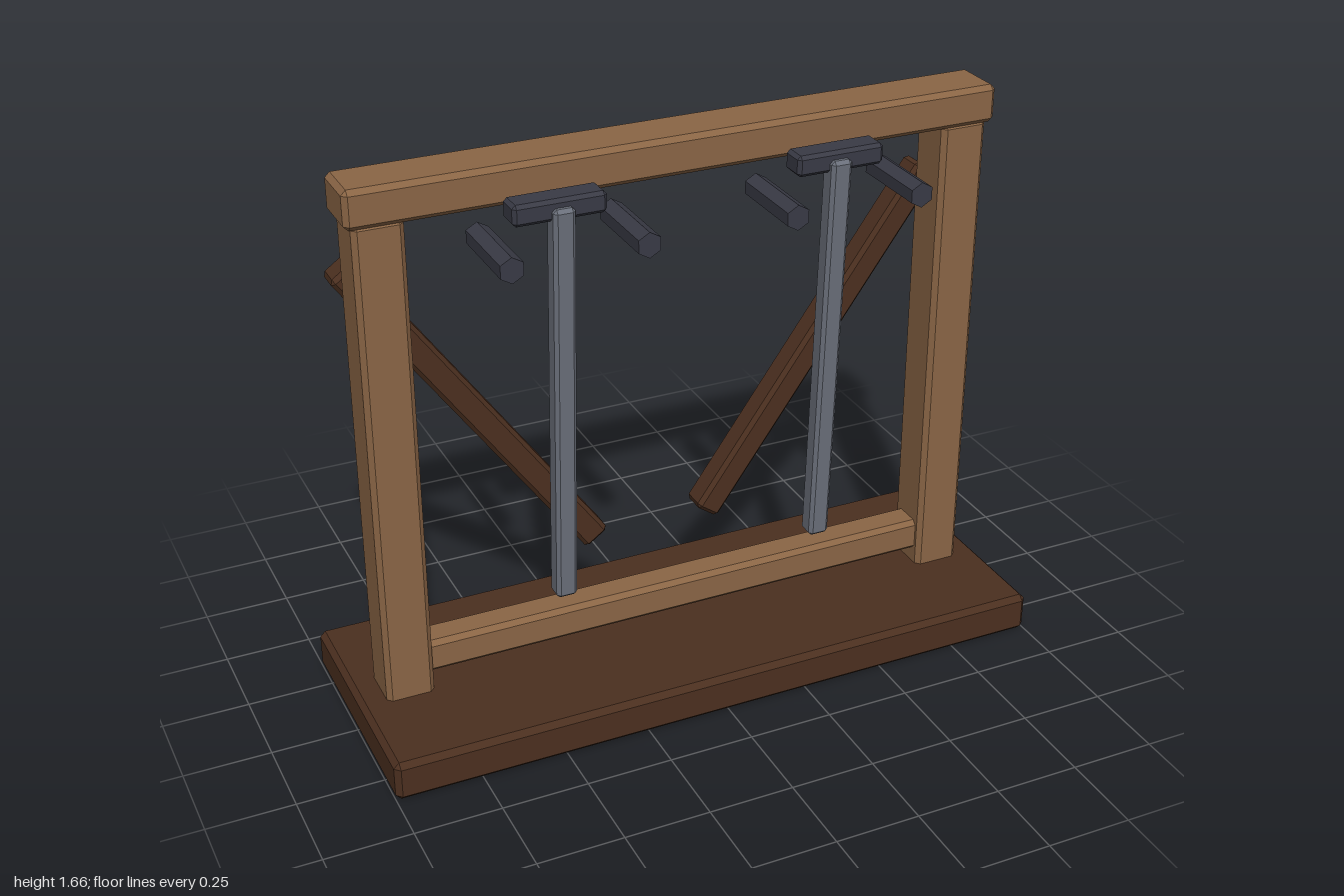
import * as THREE from 'three';
import { ConvexGeometry } from 'three/addons/geometries/ConvexGeometry.js';

// Box with bevelled edges and flat faces
function bevelBox(w, h, d, c) {
  const pts = [];
  for (const x of [-1, 1]) for (const y of [-1, 1]) for (const z of [-1, 1]) {
    const X = x * w / 2, Y = y * h / 2, Z = z * d / 2;
    pts.push(
      new THREE.Vector3(X, Y - y * c, Z - z * c),
      new THREE.Vector3(X - x * c, Y, Z - z * c),
      new THREE.Vector3(X - x * c, Y - y * c, Z)
    );
  }
  return new ConvexGeometry(pts);
}

export function createModel() {
  const group = new THREE.Group();
  const mat = (name, color) => {
    const m = new THREE.MeshStandardMaterial({ color });
    m.name = name;
    return m;
  };
  const oak = mat('light wood', 0x8a6545);
  const walnut = mat('dark wood', 0x4b2f1f);
  const steel = mat('grey steel', 0x6b707b);
  const iron = mat('dark iron', 0x393a45);

  const add = (name, geometry, material, x, y, z) => {
    const m = new THREE.Mesh(geometry, material);
    m.name = name;
    m.position.set(x, y, z);
    group.add(m);
    return m;
  };

  // Frame
  add('base', bevelBox(2, 0.12, 0.725, 0.016), walnut, 0, 0.06, 0);
  add('topBeam', bevelBox(1.89, 0.11, 0.165, 0.014), oak, 0, 1.605, 0);
  add('lowerRail', bevelBox(1.62, 0.1, 0.1, 0.014), oak, 0, 0.215, 0);

  const postGeo = bevelBox(0.14, 1.46, 0.145, 0.014);
  const braceGeo = bevelBox(0.085, 1.23, 0.088, 0.012);
  const bladeGeo = bevelBox(0.062, 1.2, 0.06, 0.01);
  const guardGeo = bevelBox(0.26, 0.06, 0.08, 0.01);
  const pegGeo = new THREE.CylinderGeometry(0.036, 0.036, 0.25, 6).toNonIndexed();
  pegGeo.computeVertexNormals();

  for (const [side, s] of [['left', 1], ['right', -1]]) {
    add(side + 'Post', postGeo, oak, s * 0.855, 0.83, 0);

    // Slanted brace behind the frame
    add(side + 'Brace', braceGeo, walnut, s * 0.537, 0.83, -0.212).rotation.z = -s * 0.62;

    // Hanging blade leaning forward at the top, with its crossguard
    add(side + 'Blade', bladeGeo, steel, s * 0.4, 0.963, 0.134).rotation.x = 0.05;
    add(side + 'Crossguard', guardGeo, iron, s * 0.405, 1.555, 0.135);

    // Pair of six-sided pegs
    for (const [place, dx] of [['Outer', 0.187], ['Inner', -0.187]]) {
      add(side + place + 'Peg', pegGeo, iron, s * (0.4 + dx), 1.47, 0.17).rotation.x = Math.PI / 2;
    }
  }
  return group;
}
